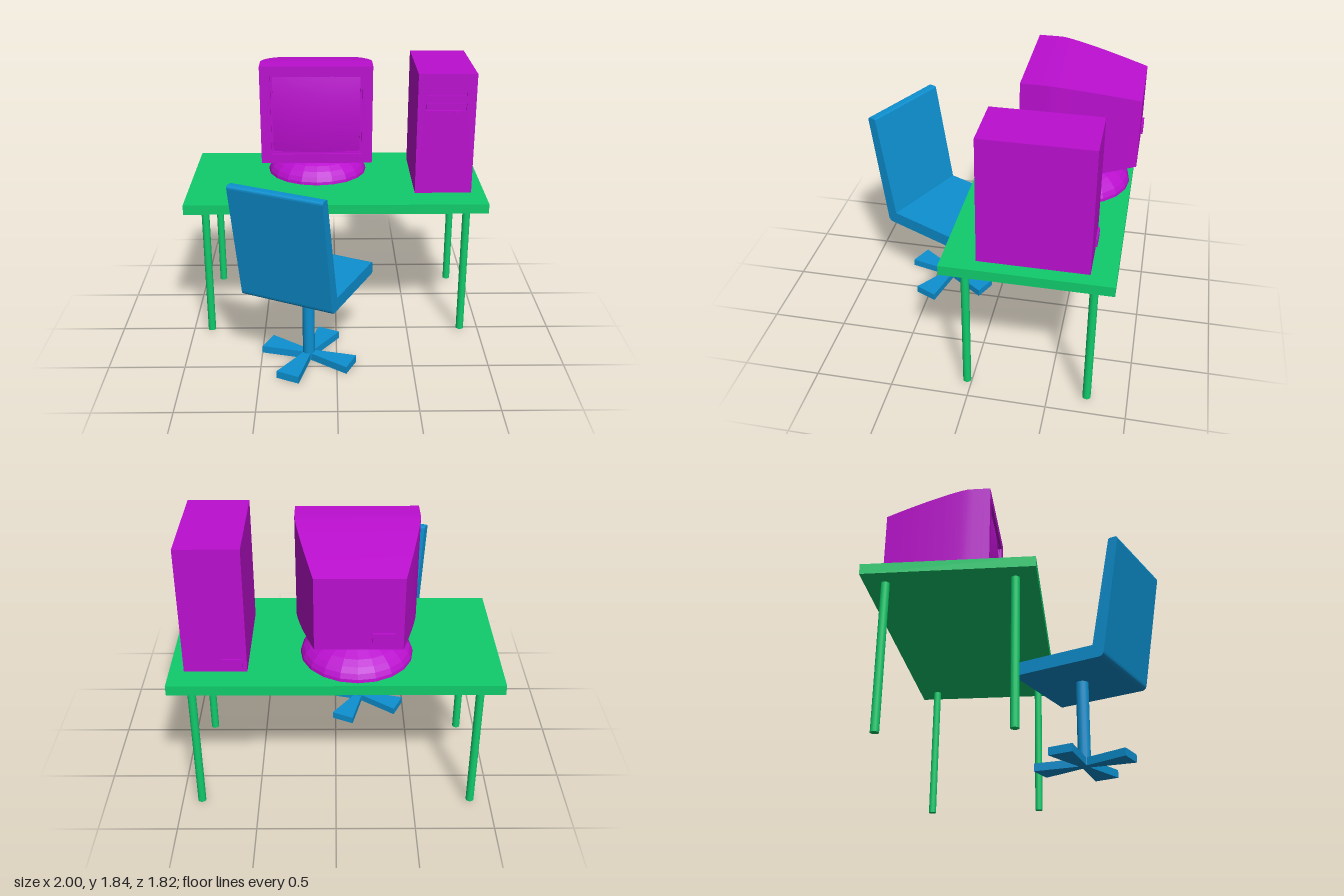
import * as THREE from 'three';

const GREEN = new THREE.MeshStandardMaterial({ color: 0x10cc6c });
const BLUE = new THREE.MeshStandardMaterial({ color: 0x0d90d0 });
const PURPLE = new THREE.MeshStandardMaterial({ color: 0xbb0fcf });

function add(parent, name, geometry, material, x = 0, y = 0, z = 0) {
  const mesh = new THREE.Mesh(geometry, material);
  mesh.name = name;
  mesh.position.set(x, y, z);
  parent.add(mesh);
  return mesh;
}

const box = (w, h, d) => new THREE.BoxGeometry(w, h, d);

function group(parent, name, x = 0, y = 0, z = 0) {
  const g = new THREE.Group();
  g.name = name;
  g.position.set(x, y, z);
  parent.add(g);
  return g;
}

function rectPath(path, x0, y0, x1, y1) {
  path.moveTo(x0, y0);
  path.lineTo(x1, y0);
  path.lineTo(x1, y1);
  path.lineTo(x0, y1);
  path.closePath();
  return path;
}

// Flat plate centred on the origin, with rectangular openings [x0, y0, x1, y1]
function plate(w, h, holes, depth) {
  const shape = rectPath(new THREE.Shape(), -w / 2, -h / 2, w / 2, h / 2);
  for (const hole of holes) shape.holes.push(rectPath(new THREE.Path(), ...hole));
  return new THREE.ExtrudeGeometry(shape, { depth, bevelEnabled: false });
}

function buildDesk(root) {
  const desk = group(root, 'desk');
  add(desk, 'deskTop', box(2, 0.065, 1.03), GREEN, 0, 0.9775, -0.357);
  for (const x of [-0.873, 0.873])
    for (const z of [0.028, -0.745])
      add(desk, 'deskLeg', new THREE.CylinderGeometry(0.026, 0.026, 0.935, 16), GREEN, x, 0.4825, z);
}

function buildMonitor(root) {
  const monitor = group(root, 'monitor', -0.128, 1.512, 0);

  // Housing: a box whose cross-section shrinks along a curve towards the back
  const front = -0.22, back = -0.9, bend = -0.33;
  const housing = new THREE.BoxGeometry(0.745, 0.665, front - back, 1, 1, 18);
  housing.translate(0, 0, (front + back) / 2);
  const p = housing.attributes.position;
  for (let i = 0; i < p.count; i++) {
    const t = Math.max(0, (bend - p.getZ(i)) / (bend - back));
    const s = 1 - 0.32 * Math.pow(t, 1.2);
    p.setXY(i, p.getX(i) * s, p.getY(i) * s);
  }
  housing.computeVertexNormals();
  add(monitor, 'monitorHousing', housing, PURPLE);

  // Bezel, inner rim and bulging screen
  add(monitor, 'bezel', plate(0.745, 0.665, [[-0.303, -0.27, 0.303, 0.27]], 0.04), PURPLE, 0, 0, -0.22);
  add(monitor, 'screenRim', plate(0.606, 0.54, [[-0.29, -0.258, 0.29, 0.258]], 0.02), PURPLE, 0, 0, -0.218);
  const screen = new THREE.PlaneGeometry(0.585, 0.52, 16, 16);
  const q = screen.attributes.position;
  for (let i = 0; i < q.count; i++) {
    const u = q.getX(i) / 0.2925, v = q.getY(i) / 0.26;
    q.setZ(i, 0.04 * (1 - (u * u + v * v) / 2));
  }
  screen.computeVertexNormals();
  add(monitor, 'screen', screen, PURPLE, 0, 0, -0.215);

  const button = new THREE.CylinderGeometry(0.017, 0.017, 0.02, 16).rotateX(Math.PI / 2);
  add(monitor, 'monitorButton', button, PURPLE, 0.288, -0.302, -0.178);
  add(monitor, 'monitorSocket', box(0.125, 0.055, 0.02), PURPLE, -0.14, -0.145, -0.903);

  // Domed foot and neck
  const profile = [[0, 0], [0.345, 0], [0.342, 0.02], [0.326, 0.05], [0.298, 0.079],
    [0.258, 0.107], [0.19, 0.137], [0.1, 0.15], [0, 0.153]]
    .map(([r, y]) => new THREE.Vector2(r, y));
  const dome = new THREE.LatheGeometry(profile, 20).toNonIndexed();
  dome.computeVertexNormals();
  add(monitor, 'monitorFoot', dome, PURPLE, 0, -0.492, -0.512);
  add(monitor, 'monitorNeck', box(0.4, 0.13, 0.34), PURPLE, 0, -0.295, -0.512);
}

function buildTower(root) {
  const tower = group(root, 'computerTower', 0.72, 1.4175, 0);
  add(tower, 'towerCase', box(0.38, 0.815, 0.655), PURPLE, 0, 0, -0.3925);
  // Front panel with two drive slots
  const slots = [[-0.135, 0.263, 0.13, 0.288], [-0.135, 0.165, 0.13, 0.213]];
  add(tower, 'frontPanel', plate(0.38, 0.815, slots, 0.015), PURPLE, 0, 0, -0.065);
  add(tower, 'driveTray', box(0.257, 0.04, 0.012), PURPLE, -0.0025, 0.189, -0.06);
  const button = new THREE.CylinderGeometry(0.02, 0.02, 0.02, 16).rotateX(Math.PI / 2).scale(1, 0.45, 1);
  add(tower, 'powerButton', button, PURPLE, 0.07, 0.15, -0.05);
  add(tower, 'towerSocket', box(0.125, 0.055, 0.02), PURPLE, -0.1, -0.345, -0.722);
}

function buildChair(root) {
  // Local +x is the way the chair faces
  const chair = group(root, 'chair', -0.185, 0, 0.385);
  chair.rotation.y = THREE.MathUtils.degToRad(64.6);

  // Seat and backrest in one bent profile with rounded ends
  const s = new THREE.Shape();
  s.moveTo(-0.275, 0.55);
  s.lineTo(0.305, 0.55);
  s.quadraticCurveTo(0.33, 0.552, 0.33, 0.575);
  s.lineTo(0.33, 0.61);
  s.quadraticCurveTo(0.33, 0.633, 0.305, 0.635);
  s.lineTo(-0.233, 0.635);
  s.lineTo(-0.366, 1.325);
  s.quadraticCurveTo(-0.368, 1.335, -0.38, 1.335);
  s.lineTo(-0.412, 1.335);
  s.quadraticCurveTo(-0.43, 1.335, -0.428, 1.315);
  s.lineTo(-0.305, 0.58);
  s.quadraticCurveTo(-0.3, 0.552, -0.275, 0.55);
  const shell = new THREE.ExtrudeGeometry(s, { depth: 0.63, bevelEnabled: false, curveSegments: 4 });
  add(chair, 'seatAndBackrest', shell, BLUE, 0, 0, -0.315);

  add(chair, 'chairPost', new THREE.CylinderGeometry(0.04, 0.04, 0.55, 16), BLUE, 0, 0.28, 0);

  // Four flat feet that widen outwards
  const foot = new THREE.Shape([[0, -0.02], [0.31, -0.08], [0.31, 0.08], [0, 0.02]]
    .map(([x, y]) => new THREE.Vector2(x, y)));
  const footGeometry = new THREE.ExtrudeGeometry(foot, { depth: 0.05, bevelEnabled: false }).rotateX(-Math.PI / 2);
  for (let i = 0; i < 4; i++)
    add(chair, 'chairFoot', footGeometry, BLUE).rotation.y = i * Math.PI / 2;
}

export function createModel() {
  const root = new THREE.Group();
  root.name = 'computerWorkstation';
  buildDesk(root);
  buildMonitor(root);
  buildTower(root);
  buildChair(root);
  return root;
}
